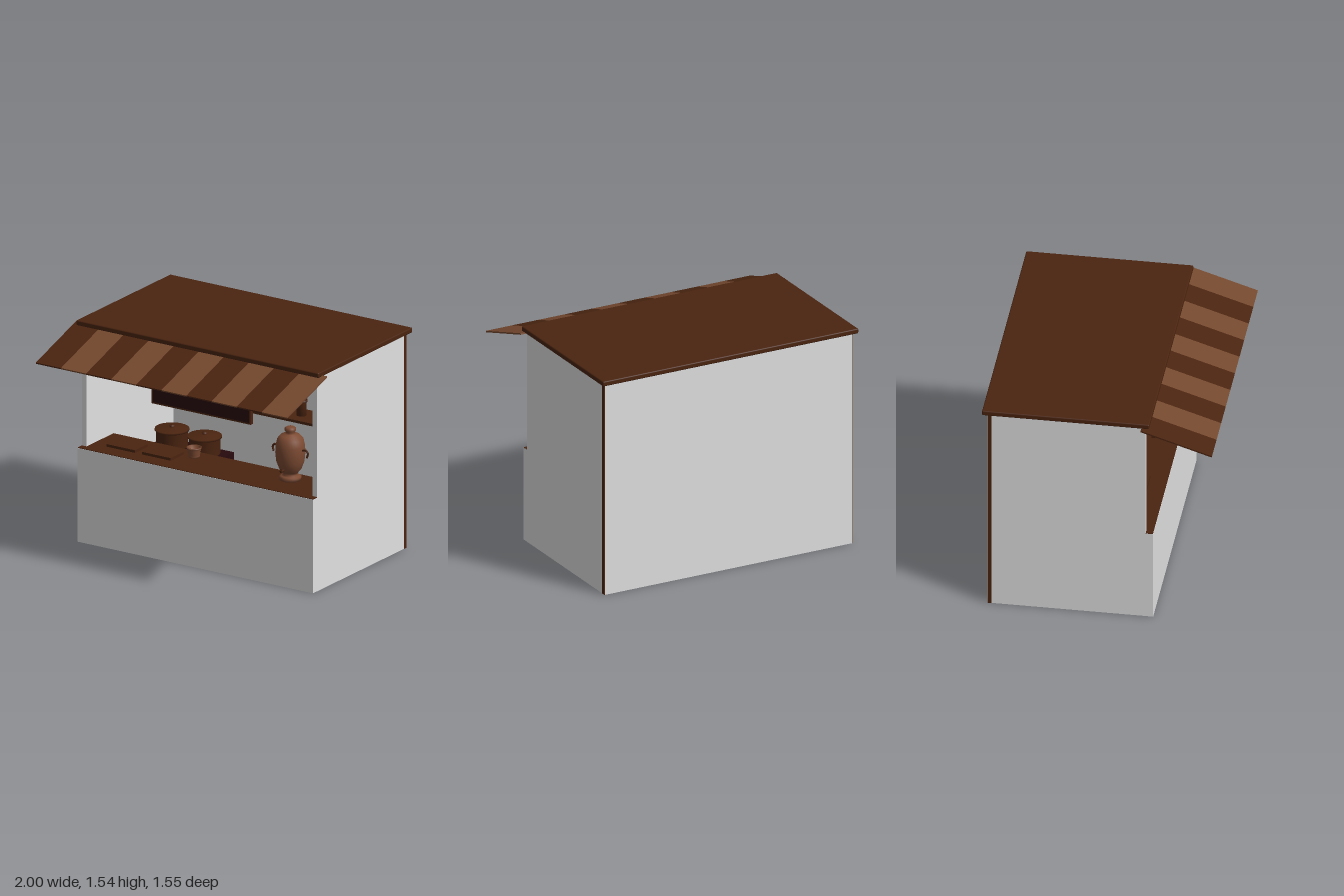
import * as THREE from 'three';
import { RoundedBoxGeometry } from 'three/addons/geometries/RoundedBoxGeometry.js';

export function createModel() {
  const root = new THREE.Group();
  root.name = 'marketStall';

  const mat = (name, color) => {
    const m = new THREE.MeshStandardMaterial({ color });
    m.name = name;
    return m;
  };
  const white = mat('whitePlaster', 0xe0e0e0);
  const wood = mat('darkWood', 0x4a2410);
  const stripe = mat('lightStripe', 0x74482e);
  const clay = mat('copper', 0x7c4a32);
  const maroon = mat('darkMaroon', 0x280b0e);

  const add = (name, geo, material, x = 0, y = 0, z = 0, parent = root) => {
    const m = new THREE.Mesh(geo, material);
    m.name = name;
    m.position.set(x, y, z);
    parent.add(m);
    return m;
  };
  // box given by its limits
  const box = (name, material, x0, x1, y0, y1, z0, z1, parent = root) =>
    add(name, new THREE.BoxGeometry(x1 - x0, y1 - y0, z1 - z0), material,
      (x0 + x1) / 2, (y0 + y1) / 2, (z0 + z1) / 2, parent);
  const lathe = (pts, n = 24) =>
    new THREE.LatheGeometry(pts.map(([r, y]) => new THREE.Vector2(r, y)), n);

  // walls, open at the bottom and the front
  box('backWall', white, -0.935, 0.935, 0, 1.505, -0.742, -0.712);
  for (const s of [-1, 1]) {
    const side = s < 0 ? 'right' : 'left';
    box(side + 'Wall', white, s > 0 ? 0.9 : -0.938, s > 0 ? 0.938 : -0.9, 0, 1.505, -0.712, 0.32);
    box(side + 'CornerTrim', wood, s > 0 ? 0.934 : -0.94, s > 0 ? 0.94 : -0.934, 0, 1.505, -0.74, -0.712);
  }

  // counter with a wooden top
  box('counter', white, -0.938, 0.938, 0, 0.656, 0, 0.37);
  box('counterTop', wood, -0.937, 0.937, 0.655, 0.66, -0.002, 0.368);

  // roof slab
  add('roof', new RoundedBoxGeometry(1.932, 0.035, 1.12, 2, 0.008), wood, 0, 1.522, -0.213);

  // sloping striped awning
  const awning = new THREE.Group();
  awning.name = 'awning';
  const z0 = 0.295, y0 = 1.507, z1 = 0.772, y1 = 1.354;
  awning.position.set(0, (y0 + y1) / 2, (z0 + z1) / 2);
  awning.rotation.x = Math.atan2(y0 - y1, z1 - z0);
  const slope = Math.hypot(z1 - z0, y0 - y1);
  for (let i = 0; i < 10; i++) {
    add('awningStripe', new THREE.BoxGeometry(0.2, 0.01, slope), i % 2 ? stripe : wood,
      -0.9 + i * 0.2, 0, 0, awning);
  }
  root.add(awning);

  // framed menu board hanging under the awning
  const board = new THREE.Group();
  board.name = 'menuBoard';
  box('boardFrame', wood, -0.395, 0.395, 1.055, 1.48, 0.275, 0.3, board);
  box('boardFace', maroon, -0.383, 0.383, 1.067, 1.468, 0.298, 0.304, board);
  root.add(board);

  // shelves
  for (const y of [0.818, 1.1]) box('shelf', wood, -0.9, 0.9, y - 0.009, y + 0.009, -0.712, -0.49);

  // bowls of buns on the upper shelf, cups on the lower one
  const bowl = lathe([[0, 0], [0.045, 0], [0.05, 0.012], [0.075, 0.03], [0.079, 0.036],
    [0.07, 0.048], [0.045, 0.062], [0, 0.067]]);
  const cup = lathe([[0, 0], [0.034, 0], [0.034, 0.095], [0.04, 0.097], [0.04, 0.11],
    [0.03, 0.11], [0.03, 0.1], [0, 0.1]], 20);
  for (let i = 0; i < 7; i++) {
    const x = -0.755 + i * 0.238;
    add('bowl', bowl, wood, x, 1.108, -0.6);
    add('cup', cup, i % 2 && i < 5 ? clay : wood, x, 0.826, -0.6);
  }

  // stove with two lidded pots
  box('stove', maroon, -0.83, -0.28, 0, 0.5, -0.51, -0.24);
  const pot = lathe([[0, 0], [0.1, 0], [0.105, 0.01], [0.105, 0.115], [0.115, 0.118], [0.115, 0.13],
    [0.02, 0.138], [0.012, 0.142], [0.02, 0.15], [0, 0.155]], 28);
  for (const x of [-0.685, -0.425]) add('pot', pot, wood, x, 0.5, -0.375);

  // trays and a ridged pot on the counter
  for (const x of [-0.675, -0.39]) box('tray', wood, x - 0.114, x + 0.114, 0.66, 0.678, 0.1, 0.25);
  add('ridgedPot', lathe([[0, 0], [0.036, 0], [0.04, 0.012], [0.036, 0.018], [0.044, 0.03],
    [0.039, 0.036], [0.047, 0.048], [0.042, 0.054], [0.05, 0.062], [0.05, 0.07], [0.042, 0.07],
    [0.036, 0.03], [0, 0.03]]), clay, -0.19, 0.66, 0.1);

  // samovar with side handles and a tap
  const samovar = new THREE.Group();
  samovar.name = 'samovar';
  samovar.position.set(0.59, 0.66, 0.12);
  add('samovarBody', lathe([[0, 0], [0.07, 0], [0.075, 0.022], [0.062, 0.03], [0.045, 0.038], [0.055, 0.055],
    [0.075, 0.08], [0.094, 0.13], [0.1, 0.19], [0.098, 0.24], [0.088, 0.285], [0.065, 0.312],
    [0.034, 0.32], [0.03, 0.332], [0.038, 0.345], [0.037, 0.362], [0.025, 0.37], [0, 0.371]], 32),
  clay, 0, 0, 0, samovar);
  for (const s of [-1, 1]) {
    const path = new THREE.CatmullRomCurve3([[0.095, 0.22], [0.125, 0.225], [0.14, 0.205], [0.132, 0.175]]
      .map(([x, y]) => new THREE.Vector3(s * x, y, 0)));
    add('samovarHandle', new THREE.TubeGeometry(path, 12, 0.007, 8), wood, 0, 0, 0, samovar);
  }
  const tap = add('samovarTap', new THREE.CylinderGeometry(0.008, 0.008, 0.05, 10), wood, 0, 0.085, 0.09, samovar);
  tap.rotation.x = Math.PI / 2;
  add('tapKey', new THREE.CylinderGeometry(0.005, 0.005, 0.03, 8), wood, 0, 0.09, 0.108, samovar);
  root.add(samovar);

  return root;
}
